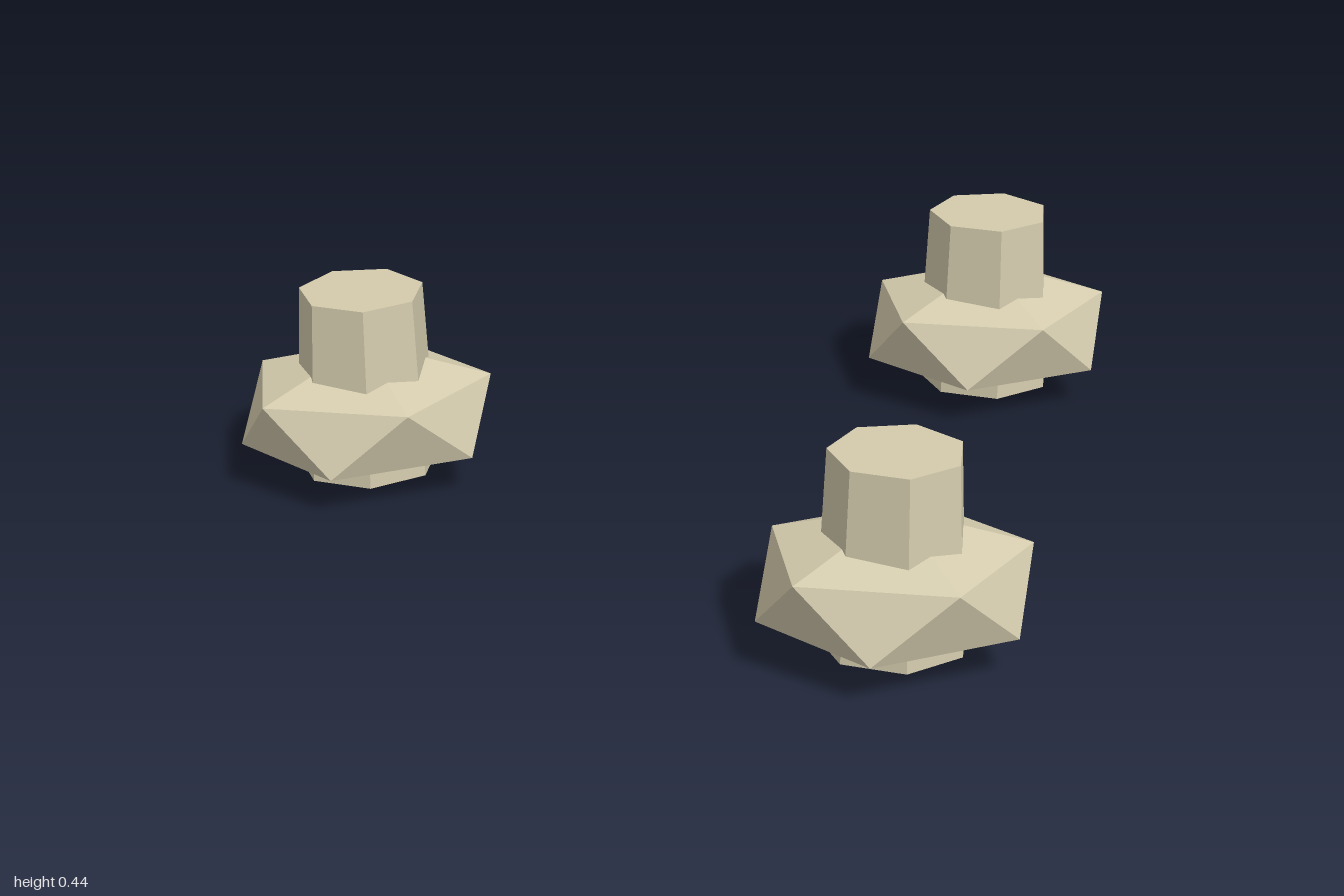
import * as THREE from 'three';
import { ConvexGeometry } from 'three/addons/geometries/ConvexGeometry.js';

// Squashed icosahedron standing on its lower pole, with staggered five-point rings
function makeBodyGeometry(rx, rz, ry) {
  const points = [new THREE.Vector3(0, 0, 0), new THREE.Vector3(0, 2 * ry, 0)];
  for (let i = 0; i < 5; i++) {
    const a = (i * 2 * Math.PI) / 5;
    const x = rx * Math.cos(a), z = rz * Math.sin(a), dy = ry / Math.sqrt(5);
    points.push(new THREE.Vector3(x, ry + dy, z));   // upper ring, corner at +x
    points.push(new THREE.Vector3(-x, ry - dy, -z)); // lower ring, corner at -x
  }
  return new ConvexGeometry(points);
}

export function createModel() {
  const model = new THREE.Group();
  model.name = 'stumps';

  const tan = new THREE.MeshStandardMaterial({ color: 0xd4cbad, flatShading: true });
  tan.name = 'pale tan';

  const bodyGeometry = makeBodyGeometry(0.275, 0.237, 0.156);

  // Seven-sided tapered post running right through the body
  const bottom = 0.032, top = 0.435;
  const postGeometry = new THREE.CylinderGeometry(0.137, 0.155, top - bottom, 7);
  postGeometry.translate(0, (top + bottom) / 2, 0);

  // Three identical stumps
  const places = [[-0.725, -0.336], [0.275, 0.666], [0.725, -0.666]];
  places.forEach(([x, z], i) => {
    const stump = new THREE.Group();
    stump.name = `stump${i + 1}`;
    stump.position.set(x, 0, z);

    const body = new THREE.Mesh(bodyGeometry, tan);
    body.name = 'facetedBase';
    const post = new THREE.Mesh(postGeometry, tan);
    post.name = 'post';
    stump.add(body, post);
    model.add(stump);
  });

  return model;
}
